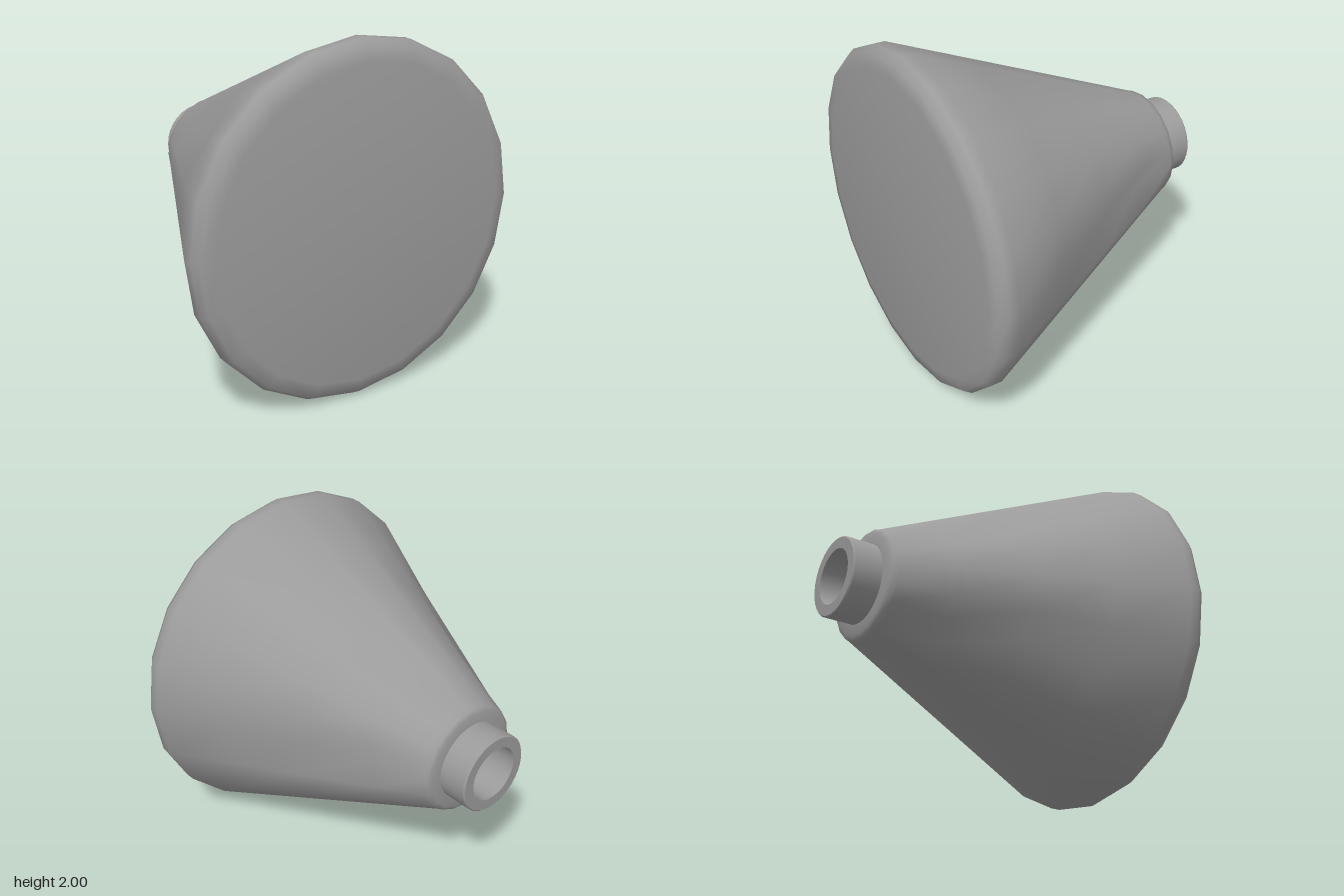
import * as THREE from 'three';
import { toCreasedNormals } from 'three/addons/utils/BufferGeometryUtils.js';

const material = new THREE.MeshStandardMaterial({ color: 0x9b9b9b });

// Revolves [radius, z] pairs, listed from back to front, around the z axis
function revolve(profile, sides) {
  const points = profile.map(([r, z]) => new THREE.Vector2(r, z));
  return new THREE.LatheGeometry(points, sides).rotateX(Math.PI / 2);
}

function addPart(group, name, geometry, crease) {
  const mesh = new THREE.Mesh(toCreasedNormals(geometry, crease), material);
  mesh.name = name;
  mesh.position.y = 1;
  group.add(mesh);
}

export function createModel() {
  const group = new THREE.Group();
  group.name = 'coneHorn';

  // Twenty-sided cone with a rounded rim and a flat front face
  const coneRadius = (z) => 0.33 + (0.67 * (z + 0.69)) / 1.48;
  const body = revolve([
    [0.2, -0.735], [0.295, -0.735], [0.318, -0.722], [0.33, -0.69],
    ...[-0.4, 0, 0.4].map((z) => [coneRadius(z), z]),
    [1, 0.79], [1, 0.85], [0.97, 0.895], [0.89, 0.91], [0, 0.91],
  ], 20);

  // Five shallow valleys run down the cone, one at every fourth corner
  const valley = [[-0.4, 0.4], [0, 0.575], [0.4, 0.785]];
  const pos = body.attributes.position;
  for (let i = 0; i < pos.count; i++) {
    const angle = Math.atan2(pos.getY(i), pos.getX(i));
    if (Math.cos(5 * angle) < 0.99) continue;
    for (const [z, r] of valley) {
      if (Math.abs(pos.getZ(i) - z) < 0.01) {
        pos.setXY(i, r * Math.cos(angle), r * Math.sin(angle));
      }
    }
  }
  addPart(group, 'coneBody', body, 0.85);

  // Hollow neck at the back: bore floor, bore, end ring, outer wall
  addPart(group, 'neck', revolve([
    [0, -0.4], [0.16, -0.4], [0.16, -0.91], [0.223, -0.91],
    [0.23, -0.902], [0.23, -0.73],
  ], 32), 0.6);

  return group;
}
